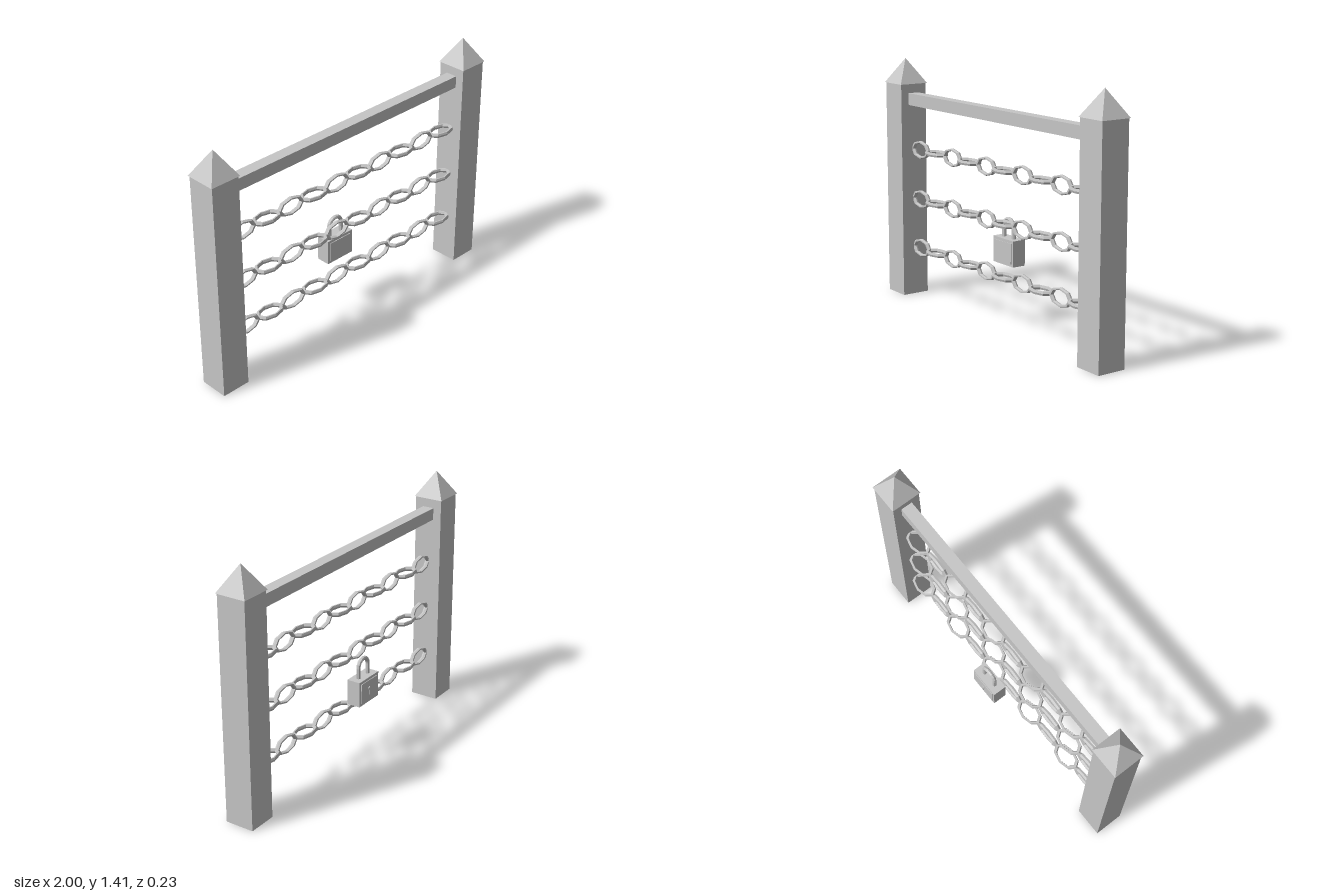
import * as THREE from 'three';

export function createModel() {
  const group = new THREE.Group();
  const stone = new THREE.MeshStandardMaterial({ color: 0xc6c6c6, flatShading: true });
  stone.name = 'light grey';
  const Z = 0.028; // plane of the fence
  const LZ = -0.067; // plane of the padlock

  function add(name, geometry, x, y, z, parent = group) {
    const mesh = new THREE.Mesh(geometry, stone);
    mesh.name = name;
    mesh.position.set(x, y, z);
    parent.add(mesh);
    return mesh;
  }

  // Posts with pyramid caps
  const postGeo = new THREE.BoxGeometry(0.168, 1.27, 0.168);
  const capGeo = new THREE.ConeGeometry(0.09 * Math.SQRT2, 0.145, 4).rotateY(Math.PI / 4);
  for (const [side, s] of [['left', 1], ['right', -1]]) {
    add(side + 'Post', postGeo, s * 0.91, 0.635, Z);
    add(side + 'PostCap', capGeo, s * 0.91, 1.3425, Z);
  }

  // Top rail
  add('topRail', new THREE.BoxGeometry(1.66, 0.07, 0.068), 0, 1.182, Z);

  // Chains: octagonal stretched links, alternately upright and lying flat
  const linkGeo = new THREE.TorusGeometry(1, 0.16, 6, 8).scale(0.0795, 0.0465, 0.082);
  for (const [name, y] of [['upperChain', 0.887], ['middleChain', 0.591], ['lowerChain', 0.295]]) {
    const chain = new THREE.Group();
    chain.name = name;
    for (let i = 0; i < 10; i++) {
      const link = add('chainLink', linkGeo, -0.751 + i * 0.1668, y, Z, chain);
      if (i % 2) link.rotation.x = Math.PI / 2;
    }
    group.add(chain);
  }

  // Padlock body with raised panels
  const lock = new THREE.Group();
  lock.name = 'padlock';
  lock.position.set(-0.003, 0, LZ);
  group.add(lock);
  add('lockBody', new THREE.BoxGeometry(0.187, 0.147, 0.08), 0, 0.4145, 0, lock);
  const panelGeo = new THREE.BoxGeometry(0.155, 0.115, 0.006);
  add('lockFrontPanel', panelGeo, 0, 0.4145, 0.041, lock);
  add('lockBackPanel', panelGeo, 0, 0.4145, -0.041, lock);

  // Keyhole on the back
  add('keyholeRound', new THREE.CylinderGeometry(0.011, 0.011, 0.008, 8).rotateX(Math.PI / 2), 0, 0.424, -0.044, lock);
  add('keyholeSlot', new THREE.BoxGeometry(0.009, 0.035, 0.007), 0, 0.4025, -0.044, lock);

  // Shackle
  const legGeo = new THREE.CylinderGeometry(0.012, 0.012, 0.075, 8);
  for (const s of [-1, 1]) add('shackleLeg', legGeo, s * 0.045, 0.5105, 0, lock);
  add('shackleArc', new THREE.TorusGeometry(0.045, 0.012, 8, 8, Math.PI), 0, 0.548, 0, lock);

  return group;
}
